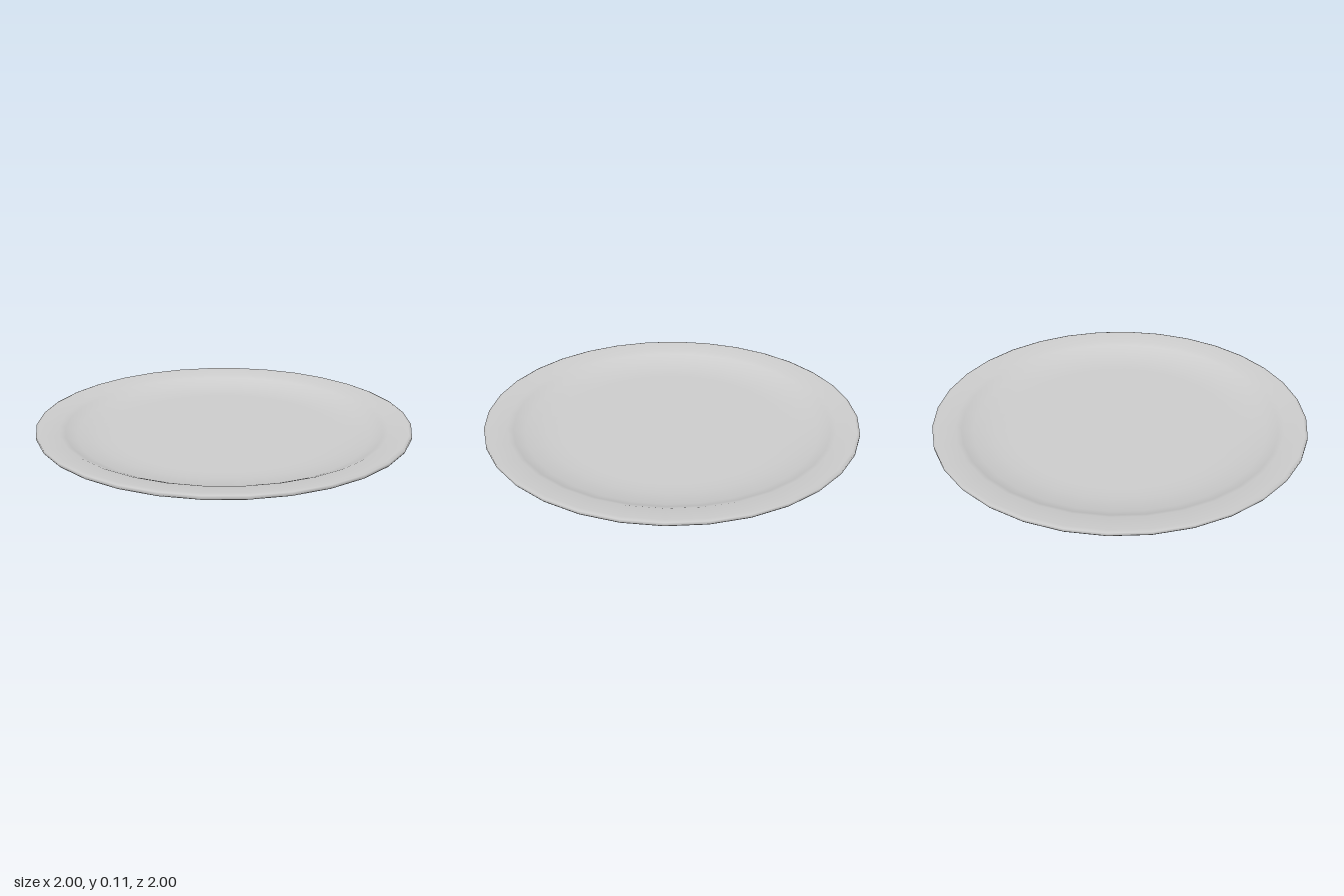
import * as THREE from 'three';

export function createModel() {
  const group = new THREE.Group();
  group.name = 'plate';

  // Closed cross-section: radius and height, from the base centre round to the floor centre
  const profile = [
    [0, 0], [0.62, 0],             // base
    [0.625, 0.014], [0.995, 0.083], // foot step and flared underside
    [1, 0.09], [1, 0.104], [0.985, 0.11], // rounded lip
    [0.88, 0.096], [0.85, 0.083],  // rim and its inner shoulder
    [0.79, 0.056], [0.68, 0.041],  // sloping well
    [0.6, 0.04], [0, 0.04],        // floor
  ].map(([r, y]) => new THREE.Vector2(r, y));

  const dish = new THREE.Mesh(
    new THREE.LatheGeometry(profile, 32),
    new THREE.MeshStandardMaterial({ color: 0xcccccc })
  );
  dish.name = 'dish';
  group.add(dish);
  return group;
}
